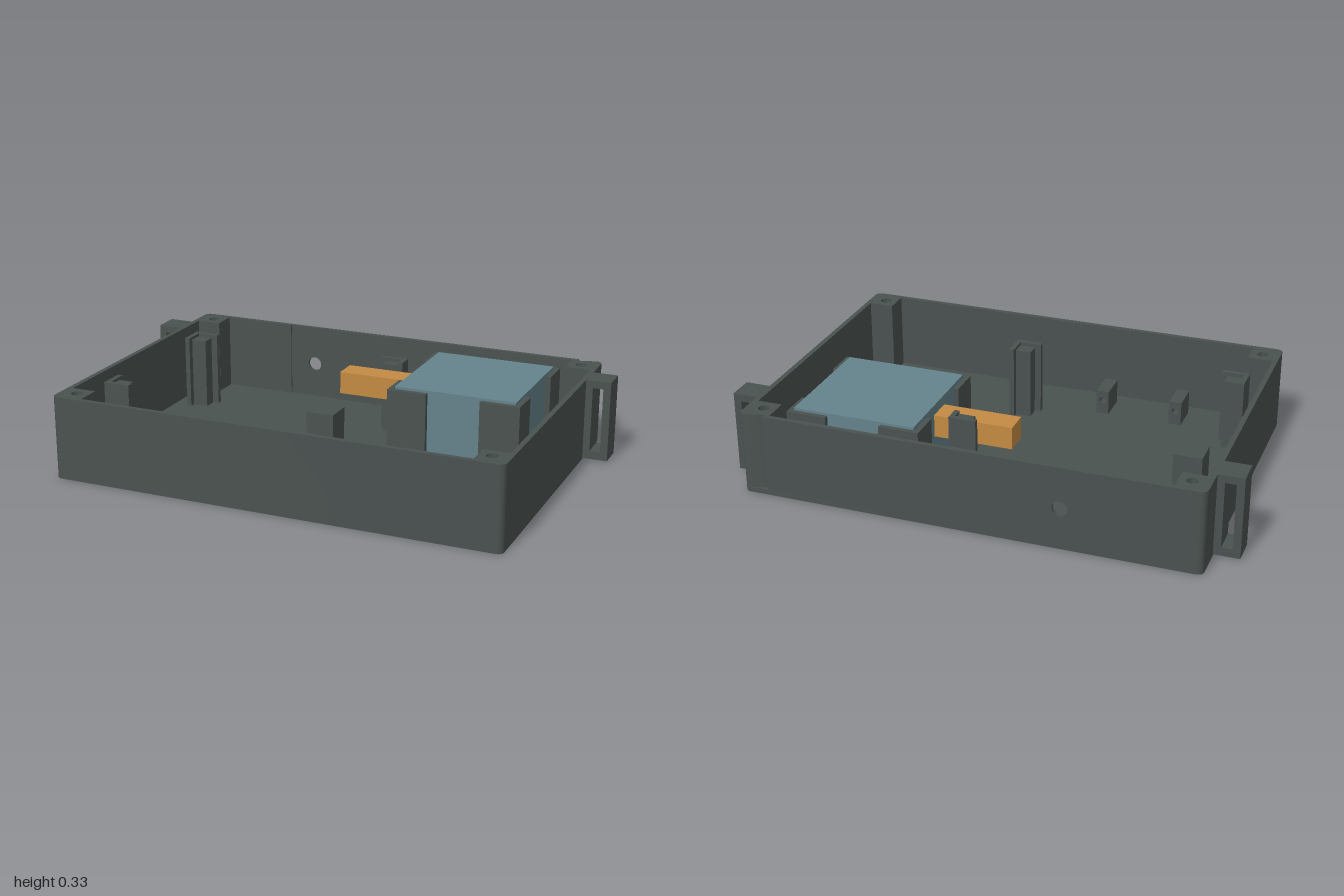
import * as THREE from 'three';
import { toCreasedNormals } from 'three/addons/utils/BufferGeometryUtils.js';

const W = 0.9, D = 0.63, H = 0.33, T = 0.02, R = 0.025;

export function createModel() {
  const model = new THREE.Group();
  const casing = new THREE.MeshStandardMaterial({ color: 0x4a5250 });
  const blue = new THREE.MeshStandardMaterial({ color: 0x65838c });
  const orange = new THREE.MeshStandardMaterial({ color: 0xc48b43 });
  casing.name = 'dark grey casing';
  blue.name = 'muted blue';
  orange.name = 'orange';

  const add = (name, geometry, material = casing) => {
    const mesh = new THREE.Mesh(geometry, material);
    mesh.name = name;
    model.add(mesh);
    return mesh;
  };
  // box given by its limits on each axis
  const box = (name, x0, x1, y0, y1, z0, z1, material) =>
    add(name, new THREE.BoxGeometry(x1 - x0, y1 - y0, z1 - z0), material)
      .position.set((x0 + x1) / 2, (y0 + y1) / 2, (z0 + z1) / 2);
  const extrude = (shape, depth) => toCreasedNormals(
    new THREE.ExtrudeGeometry(shape, { depth, bevelEnabled: false, curveSegments: 12 }), 0.6);
  // plan outline (x, z) raised from y0 to y1
  const plan = (name, shape, y0, y1) =>
    add(name, extrude(shape, y1 - y0).rotateX(Math.PI / 2).translate(0, y1, 0));
  // front outline (x, y) run from z0 to z1
  const front = (name, shape, z0, z1) => add(name, extrude(shape, z1 - z0).translate(0, 0, z0));
  const rect = (x0, x1, y0, y1) => new THREE.Shape(
    [[x0, y0], [x1, y0], [x1, y1], [x0, y1]].map(p => new THREE.Vector2(...p)));
  const poly = pts => new THREE.Shape(pts.map(p => new THREE.Vector2(...p)));
  const withHole = (shape, x, y, r) => {
    shape.holes.push(new THREE.Path().absarc(x, y, r, 0, Math.PI * 2, true));
    return shape;
  };

  // Floor with rounded corners
  const floor = new THREE.Shape();
  floor.absarc(W - R, D - R, R, 0, Math.PI / 2);
  floor.absarc(-W + R, D - R, R, Math.PI / 2, Math.PI);
  floor.absarc(-W + R, -D + R, R, Math.PI, Math.PI * 1.5);
  floor.absarc(W - R, -D + R, R, Math.PI * 1.5, Math.PI * 2);
  plan('floor', floor, 0, T);

  // Front and side walls in one run, open along the back
  const B = 0.8;
  const walls = new THREE.Shape();
  walls.moveTo(B, -D);
  walls.absarc(W - R, -D + R, R, -Math.PI / 2, 0);
  walls.absarc(W - R, D - R, R, 0, Math.PI / 2);
  walls.absarc(-W + R, D - R, R, Math.PI / 2, Math.PI);
  walls.absarc(-W + R, -D + R, R, Math.PI, Math.PI * 1.5);
  for (const [x, z] of [[-B, -D], [-B, -D + T], [-W + T, -D + T], [-W + T, D - T],
    [W - T, D - T], [W - T, -D + T], [B, -D + T]]) walls.lineTo(x, z);
  plan('frontAndSideWalls', walls, T, H);

  // Back wall with a thinner panel around the cable hole
  box('backWallRight', -B, -0.48, T, H, -D, -D + T);
  front('backWallCablePanel', withHole(rect(-0.48, -0.27, T, H), -0.37, 0.165, 0.03), -D, -D + 0.014);
  box('backWallLeft', -0.27, B, T, H, -D, -D + T);

  // Corner screw posts and slotted strap ears
  for (const sx of [-1, 1]) {
    for (const sz of [-1, 1]) {
      const xs = [sx * 0.78, sx * 0.882].sort((a, b) => a - b);
      const zs = [sz * 0.51, sz * 0.612].sort((a, b) => a - b);
      plan('screwPost', withHole(rect(...xs, ...zs), sx * 0.83, sz * 0.56, 0.022), T, H);
    }
    const ear = sx > 0 ? rect(0.89, 1, 0.005, H) : rect(-1, -0.89, 0.005, H);
    ear.holes.push(sx > 0 ? rect(0.928, 0.97, 0.038, 0.3) : rect(-0.97, -0.928, 0.038, 0.3));
    front('strapEar', ear, -0.485, -0.38);
  }

  // L-shaped corner guide: outer corner (x, z), arms running inwards
  const guide = (name, x, z, dx, dz, lx, lz, top) => plan(name, poly([
    [x, z], [x + dx * lx, z], [x + dx * lx, z + dz * T],
    [x + dx * T, z + dz * T], [x + dx * T, z + dz * lz], [x, z + dz * lz]]), T, top);

  // Circuit board supports, each a pillar inside a corner guide
  for (const sz of [-1, 1]) {
    for (const sx of [-1, 1]) {
      const cx = sx < 0 ? -0.82 : 0.155;
      const short = sx > 0 && sz < 0;
      guide('boardGuide', cx, sz * 0.38, -sx, -sz, 0.108, short ? 0.065 : 0.105, 0.322);
      const px = sx < 0 ? -0.768 : 0.103;
      const zs = [sz * (short ? 0.316 : 0.3), sz * 0.353].sort((a, b) => a - b);
      box('boardPillar', px - 0.032, px + 0.032, T, 0.31, ...zs);
    }
  }

  // Blue module, its four corner guides and the orange plug
  box('blueModule', 0.24, 0.73, T, 0.325, -0.51, -0.02, blue);
  for (const [x, dx] of [[0.215, 1], [0.752, -1]])
    for (const [z, dz] of [[-0.53, 1], [0, -1]])
      guide('moduleGuide', x, z, dx, dz, 0.16, 0.13, 0.315);
  box('orangePlug', -0.075, 0.24, 0.195, 0.285, -0.315, -0.215, orange);

  // Small drilled blocks near the front wall
  for (const x of [-0.51, -0.2])
    front('drilledBlock', withHole(rect(x - 0.026, x + 0.026, T, 0.12), x, 0.08, 0.013), 0.43, 0.555);

  return model;
}
